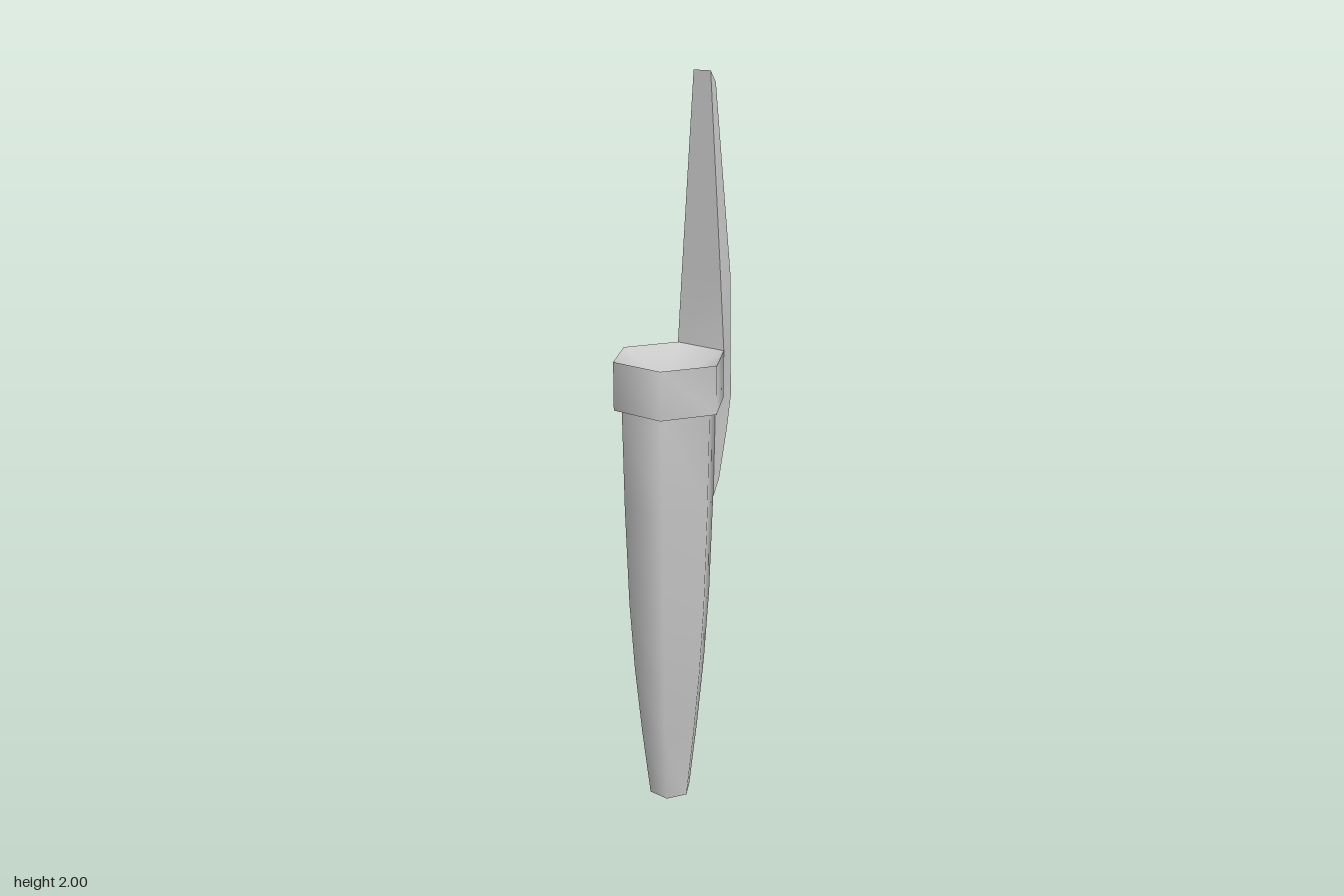
import * as THREE from 'three';
import { toCreasedNormals } from 'three/addons/utils/BufferGeometryUtils.js';

const material = new THREE.MeshStandardMaterial({ color: 0xcccccc });

// Six-sided shell: flat foot, swelling body, collar and shallow dished mouth
function makeSheath() {
  const profile = [
    [0, 0], [0.06, 0], [0.084, 0.2], [0.104, 0.4], [0.118, 0.6],
    [0.128, 0.88], [0.133, 1.155],
    [0.155, 1.155], [0.155, 1.285], [0, 1.2],
  ].map(([r, y]) => new THREE.Vector2(r, y));
  const geometry = toCreasedNormals(new THREE.LatheGeometry(profile, 6), 1.2);
  const mesh = new THREE.Mesh(geometry, material);
  mesh.name = 'sheathAndCollar';
  mesh.position.x = -0.035;
  return mesh;
}

// Tapered strap lofted through four-cornered sections
function makeStrap() {
  // inner y, x, half width; outer y, x, half width
  const sections = [
    [0.88, 0.05, 0.064, 0.88, 0.077, 0.064],
    [0.92, 0.05, 0.066, 0.92, 0.104, 0.062],
    [1.06, 0.06, 0.067, 1.06, 0.137, 0.063],
    [1.15, 0.08, 0.07, 1.15, 0.155, 0.062],
    [1.285, 0.1, 0.077, 1.285, 0.16, 0.055],
    [1.48, 0.1, 0.064, 1.48, 0.166, 0.047],
    [2, 0.1, 0.027, 1.97, 0.126, 0.024],
  ];
  const positions = [];
  const index = [];
  for (const [yi, xi, zi, yo, xo, zo] of sections) {
    positions.push(xi, yi, zi, xo, yo, zo, xo, yo, -zo, xi, yi, -zi);
  }
  for (let s = 0; s < sections.length - 1; s++) {
    for (let i = 0; i < 4; i++) {
      const a = s * 4 + i;
      const b = s * 4 + ((i + 1) % 4);
      index.push(a, b, b + 4, a, b + 4, a + 4);
    }
  }
  // End caps
  const t = (sections.length - 1) * 4;
  index.push(0, 2, 1, 0, 3, 2, t, t + 1, t + 2, t, t + 2, t + 3);

  const geometry = new THREE.BufferGeometry();
  geometry.setAttribute('position', new THREE.Float32BufferAttribute(positions, 3));
  geometry.setIndex(index);
  const mesh = new THREE.Mesh(toCreasedNormals(geometry, 0.7), material);
  mesh.name = 'backStrap';
  return mesh;
}

export function createModel() {
  const group = new THREE.Group();
  group.name = 'sheath';
  group.add(makeSheath(), makeStrap());
  return group;
}
